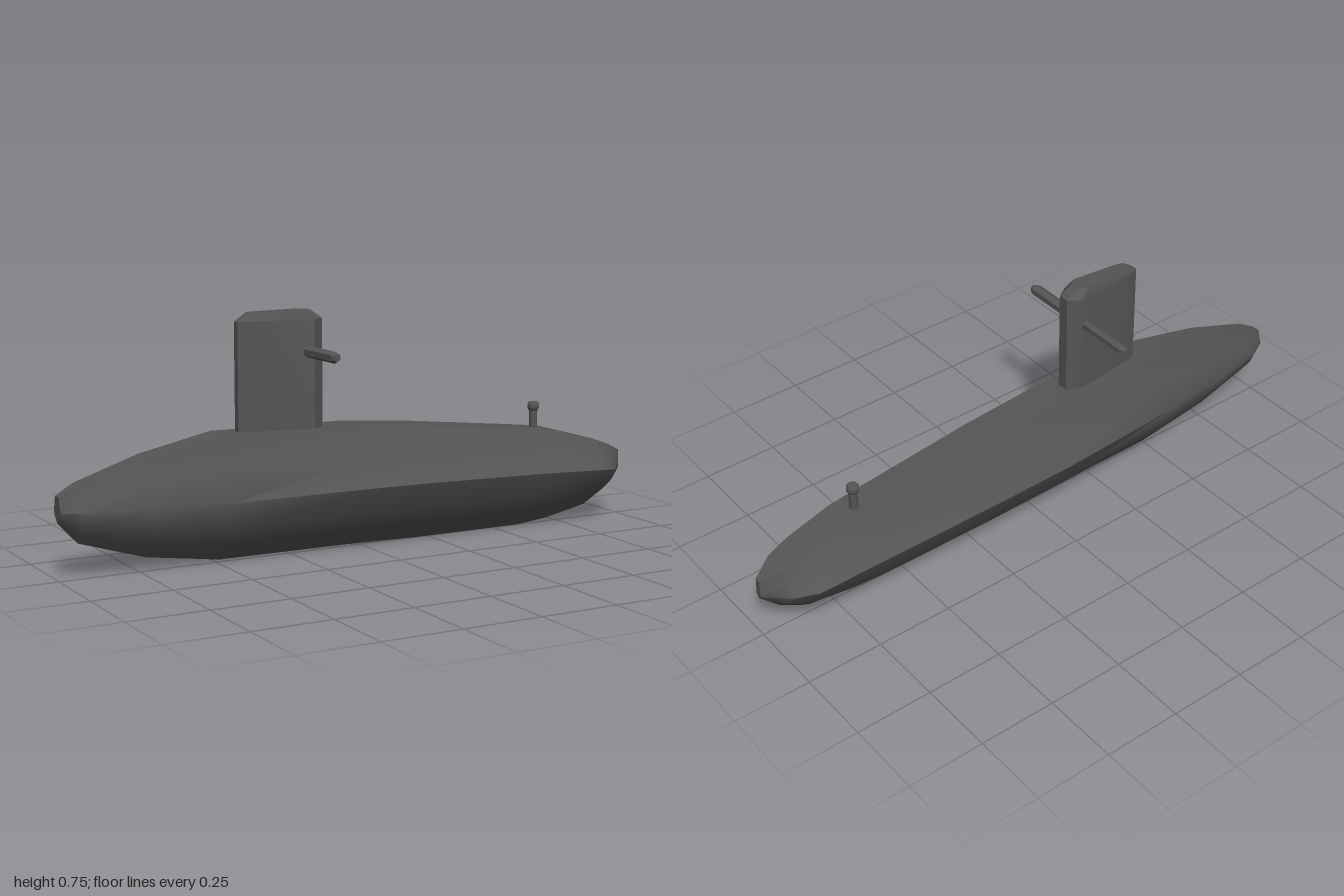
import * as THREE from 'three';
import { toCreasedNormals } from 'three/addons/utils/BufferGeometryUtils.js';

// Skin a closed surface over a list of rings, with flat ends
function loft(rings, crease) {
  const n = rings[0].length, idx = [];
  const last = (rings.length - 1) * n;
  for (let i = 0; i < rings.length - 1; i++) {
    for (let j = 0; j < n; j++) {
      const a = i * n + j, b = i * n + (j + 1) % n;
      idx.push(a, b, a + n, b, b + n, a + n);
    }
  }
  for (let j = 1; j < n - 1; j++) {
    idx.push(0, j + 1, j);
    idx.push(last, last + j, last + j + 1);
  }
  const g = new THREE.BufferGeometry();
  g.setAttribute('position', new THREE.Float32BufferAttribute(rings.flat(2), 3));
  g.setIndex(idx);
  return toCreasedNormals(g, crease);
}

export function createModel() {
  const model = new THREE.Group();
  model.name = 'submarine';
  const steel = new THREE.MeshStandardMaterial({ color: 0x555555 });
  steel.name = 'dark grey steel';

  const add = (name, geometry, x = 0, y = 0, z = 0, parent = model) => {
    const mesh = new THREE.Mesh(geometry, steel);
    mesh.name = name;
    mesh.position.set(x, y, z);
    parent.add(mesh);
    return mesh;
  };

  // Hull stations: x, deck y, deck half width, ridge y, ridge half width, keel y
  const stations = [
    [-1.0, 0.255, 0.015, 0.21, 0.028, 0.175],
    [-0.94, 0.285, 0.028, 0.207, 0.06, 0.11],
    [-0.73, 0.35, 0.042, 0.205, 0.096, 0.045],
    [-0.49, 0.398, 0.052, 0.206, 0.12, 0.01],
    [-0.05, 0.393, 0.06, 0.21, 0.147, 0.008],
    [0.2, 0.374, 0.06, 0.207, 0.148, 0.003],
    [0.6, 0.331, 0.056, 0.195, 0.136, 0.003],
    [0.71, 0.318, 0.054, 0.19, 0.132, 0.014],
    [0.865, 0.276, 0.05, 0.182, 0.124, 0.045],
    [0.935, 0.25, 0.042, 0.172, 0.085, 0.085],
    [1.0, 0.222, 0.008, 0.165, 0.012, 0.15],
  ];
  const hullRings = stations.map(([x, dy, dz, ry, rz, ky]) => {
    const mix = THREE.MathUtils.lerp;
    const side = [
      [dy, dz],
      [mix(dy, ry, 0.55), mix(dz, rz, 0.44)],
      [ry, rz],
      [mix(ry, ky, 0.44), rz * 0.71],
      [mix(ry, ky, 0.7), rz * 0.41],
    ];
    return [
      ...side.map(([y, z]) => [x, y, z]),
      [x, ky, 0],
      ...side.slice().reverse().map(([y, z]) => [x, y, -z]),
    ];
  });
  add('hull', loft(hullRings, 0.85));

  // Sail: tapered plan with a bevelled top
  const half = [[-0.428, 0.012], [-0.39, 0.022], [-0.185, 0.043], [-0.145, 0.018]];
  const plan = [...half, ...half.slice().reverse().map(([x, z]) => [x, -z])];
  const sailRing = (y, sx, sz) =>
    plan.map(([x, z]) => [-0.287 + (x + 0.287) * sx, y, z * sz]);
  add('sail', loft([
    sailRing(0.35, 1, 1), sailRing(0.73, 1, 1), sailRing(0.757, 0.72, 0.74),
  ], 0.3), 0, 0, 0.004);

  // Diving planes: thin six-sided bars with bevelled tips
  for (const s of [1, -1]) {
    const r = s > 0 ? 0.019 : 0.017;
    const profile = [[0, 0], [r, 0], [r, 0.195], [r * 0.65, 0.21], [0, 0.21]]
      .map(([a, b]) => new THREE.Vector2(a, b));
    const geometry = toCreasedNormals(new THREE.LatheGeometry(profile, 6), 0.3);
    geometry.scale(1, 1, 0.95);
    const plane = add(s > 0 ? 'leftDivingPlane' : 'rightDivingPlane',
      geometry, -0.203, 0.631, s * 0.014);
    plane.rotation.x = s * Math.PI / 2;
  }

  // Periscope: slim stem with a wider head
  const scope = new THREE.Group();
  scope.name = 'periscope';
  scope.position.set(0.657, 0, -0.004);
  model.add(scope);
  add('periscopeStem', new THREE.CylinderGeometry(0.014, 0.014, 0.09, 10), 0, 0.345, 0, scope);
  const head = [[0.013, 0.378], [0.019, 0.388], [0.02, 0.402], [0.016, 0.409], [0, 0.409]];
  add('periscopeHead', toCreasedNormals(
    new THREE.LatheGeometry(head.map(([a, b]) => new THREE.Vector2(a, b)), 10), 0.7), 0, 0, 0, scope);

  return model;
}
